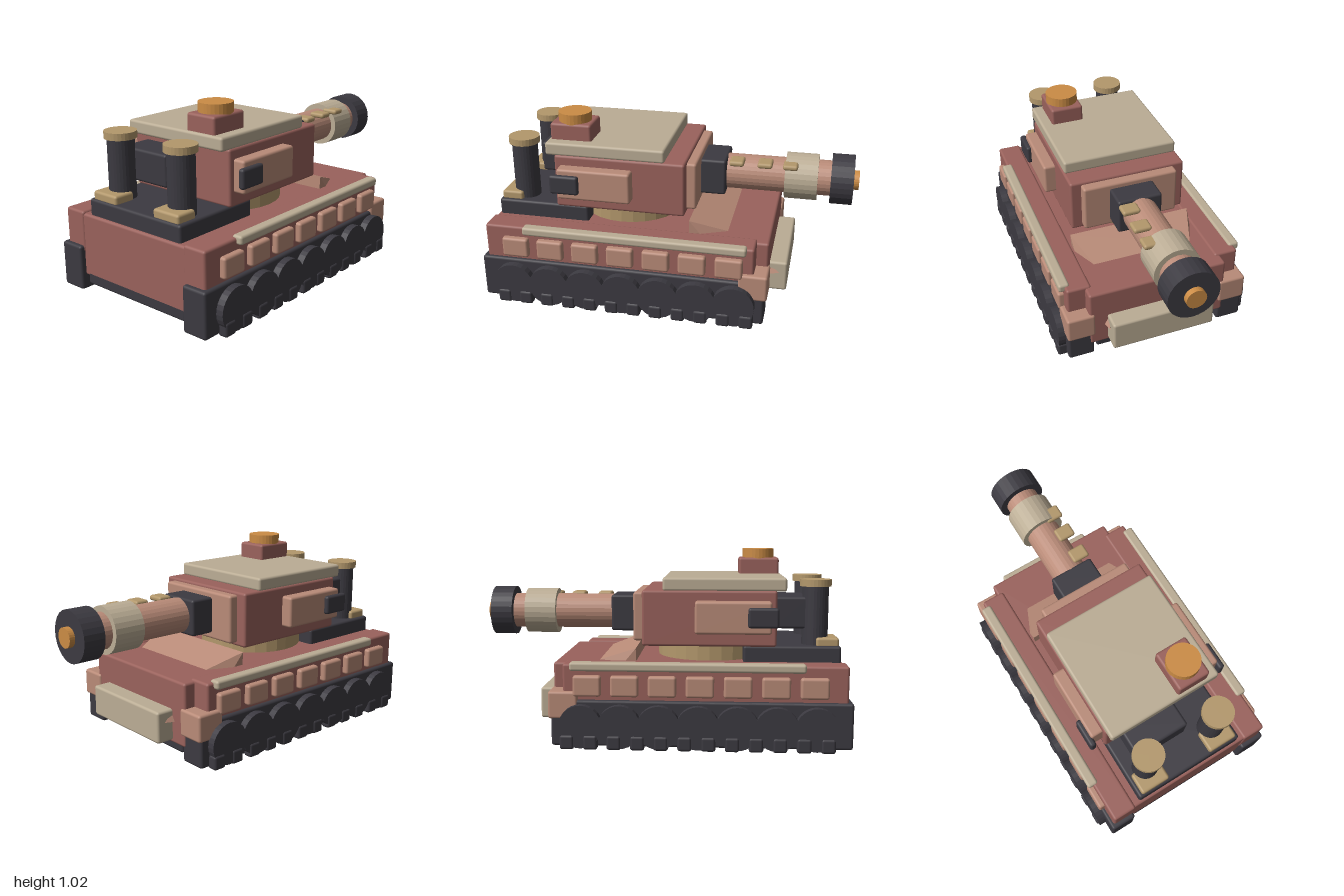
import * as THREE from 'three';
import { RoundedBoxGeometry } from 'three/addons/geometries/RoundedBoxGeometry.js';
import { ConvexGeometry } from 'three/addons/geometries/ConvexGeometry.js';

const paint = (name, color) => {
  const m = new THREE.MeshStandardMaterial({ color });
  m.name = name;
  return m;
};

export function createModel() {
  const maroon = paint('maroon', 0x9a625c);
  const salmon = paint('salmon', 0xb98b78);
  const cream = paint('cream', 0xbbad95);
  const brass = paint('brass', 0xb3986c);
  const dark = paint('charcoal', 0x3c3a41);
  const orange = paint('orange', 0xcb8c45);

  const root = new THREE.Group();
  root.name = 'tank';
  const group = (name) => {
    const g = new THREE.Group();
    g.name = name;
    root.add(g);
    return g;
  };
  const add = (parent, name, geo, mat) => {
    const m = new THREE.Mesh(geo, mat);
    m.name = name;
    parent.add(m);
    return m;
  };
  // bevelled box from its limits on each axis
  const box = (parent, name, mat, [x0, x1], [y0, y1], [z0, z1], bevel = 0.014) => {
    const w = x1 - x0, h = y1 - y0, d = z1 - z0;
    const r = Math.min(bevel, Math.min(w, h, d) * 0.45);
    const m = add(parent, name, new RoundedBoxGeometry(w, h, d, 2, r), mat);
    m.position.set((x0 + x1) / 2, (y0 + y1) / 2, (z0 + z1) / 2);
    return m;
  };
  // faceted cylinder along an axis, centred at c
  const cyl = (parent, name, mat, r, len, c, axis = 'y', sides = 28) => {
    const geo = new THREE.CylinderGeometry(r, r, len, sides).toNonIndexed();
    geo.computeVertexNormals();
    if (axis === 'x') geo.rotateZ(-Math.PI / 2);
    if (axis === 'z') geo.rotateX(Math.PI / 2);
    const m = add(parent, name, geo, mat);
    m.position.set(...c);
    return m;
  };
  // z limits mirrored to either side
  const side = (s, a, b) => (s > 0 ? [a, b] : [-b, -a]);

  // Hull
  const hull = group('hull');
  box(hull, 'hullBody', maroon, [-0.97, 0.565], [0.09, 0.433], [-0.39, 0.39]);
  box(hull, 'underbody', dark, [-0.97, 0.55], [0.045, 0.12], [-0.35, 0.35]);
  box(hull, 'frontPlate', cream, [0.55, 0.66], [0.105, 0.275], [-0.29, 0.29]);
  box(hull, 'engineDeck', dark, [-0.955, -0.44], [0.42, 0.52], [-0.32, 0.32]);
  cyl(hull, 'turretRing', brass, 0.29, 0.1, [-0.26, 0.47, 0]);

  // Sloped plate ahead of the turret
  const glacis = [];
  const wedges = { 1: [], '-1': [] };
  for (const s of [-1, 1]) {
    glacis.push(
      new THREE.Vector3(0.13, 0.505, 0.35 * s), new THREE.Vector3(0.34, 0.43, 0.28 * s),
      new THREE.Vector3(0.2, 0.42, 0.345 * s), new THREE.Vector3(0.13, 0.42, 0.345 * s));
    wedges[s].push(
      new THREE.Vector3(0.55, 0.21, 0.31 * s), new THREE.Vector3(0.55, 0.265, 0.28 * s),
      new THREE.Vector3(0.62, 0.215, 0.295 * s), new THREE.Vector3(0.55, 0.21, 0.27 * s));
  }
  add(hull, 'slopedPlate', new ConvexGeometry(glacis), salmon);

  for (const s of [-1, 1]) {
    const z = (a, b) => side(s, a, b);
    const name = s > 0 ? 'left' : 'right';
    add(hull, name + 'FrontWedge', new ConvexGeometry(wedges[s]), salmon);

    // Fender, rail and side panels
    const fender = group(name + 'Fender');
    box(fender, 'fender', maroon, [-0.975, 0.5], [0.22, 0.443], z(0.355, 0.49));
    box(fender, 'rail', cream, [-0.755, 0.46], [0.408, 0.455], z(0.46, 0.52));
    box(fender, 'frontBlock', salmon, [0.42, 0.575], [0.155, 0.3], z(0.36, 0.515));
    for (let i = 0; i < 7; i++) {
      const x = -0.8 + i * 0.195;
      box(fender, 'sidePanel', salmon, [x - 0.073, x + 0.073], [0.275, 0.385], z(0.47, 0.522));
    }

    // Track with wheels and tread pads
    const track = group(name + 'Track');
    box(track, 'trackBlock', dark, [-1, 0.56], [0.012, 0.255], z(0.365, 0.51));
    for (let i = 0; i < 7; i++)
      cyl(track, 'wheel', dark, 0.113, 0.06, [-0.813 + i * 0.2025, 0.123, s * 0.52], 'z');
    for (let i = 0; i < 12; i++) {
      const x = -0.87 + i * 0.122;
      box(track, 'treadPad', dark, [x - 0.037, x + 0.037], [0.003, 0.08], z(0.5, 0.556));
    }

    // Exhaust stack
    const stack = group(name + 'Exhaust');
    cyl(stack, 'exhaustPipe', dark, 0.07, 0.34, [-0.825, 0.67, s * 0.21]);
    cyl(stack, 'exhaustCap', brass, 0.084, 0.037, [-0.825, 0.85, s * 0.21]);
    box(stack, 'exhaustFoot', brass, [-0.945, -0.825], [0.51, 0.563], z(0.13, 0.3));
  }

  // Turret
  const turret = group('turret');
  box(turret, 'turretBody', maroon, [-0.615, 0.1], [0.515, 0.813], [-0.33, 0.33]);
  box(turret, 'turretFace', salmon, [0.09, 0.152], [0.535, 0.798], [-0.27, 0.27]);
  box(turret, 'roof', cream, [-0.665, -0.01], [0.808, 0.88], [-0.325, 0.325]);
  box(turret, 'rearBox', dark, [-0.785, -0.6], [0.605, 0.775], [-0.25, 0.065]);
  box(turret, 'hatchBase', maroon, [-0.65, -0.423], [0.865, 0.97], [0.08, 0.265]);
  cyl(turret, 'hatchCap', orange, 0.09, 0.06, [-0.535, 0.99, 0.173]);
  for (const s of [-1, 1]) {
    box(turret, 'cheekPanel', salmon, [-0.585, -0.183], [0.588, 0.76], side(s, 0.31, 0.395));
    box(turret, 'cheekKnob', dark, [-0.62, -0.46], [0.625, 0.73], side(s, 0.385, 0.42));
  }

  // Gun
  const gun = group('gun');
  box(gun, 'breech', dark, [0.145, 0.288], [0.57, 0.77], [-0.125, 0.125]);
  cyl(gun, 'barrel', salmon, 0.097, 0.6, [0.57, 0.67, 0], 'x');
  cyl(gun, 'sleeve', cream, 0.127, 0.175, [0.693, 0.67, 0], 'x');
  cyl(gun, 'muzzle', dark, 0.137, 0.12, [0.91, 0.67, 0], 'x');
  cyl(gun, 'muzzleCore', orange, 0.053, 0.05, [0.975, 0.67, 0], 'x');
  for (const x of [0.345, 0.498, 0.634])
    box(gun, 'barrelLug', brass, [x - 0.04, x + 0.04], [0.745, 0.775], [0.035, 0.133]);

  return root;
}
